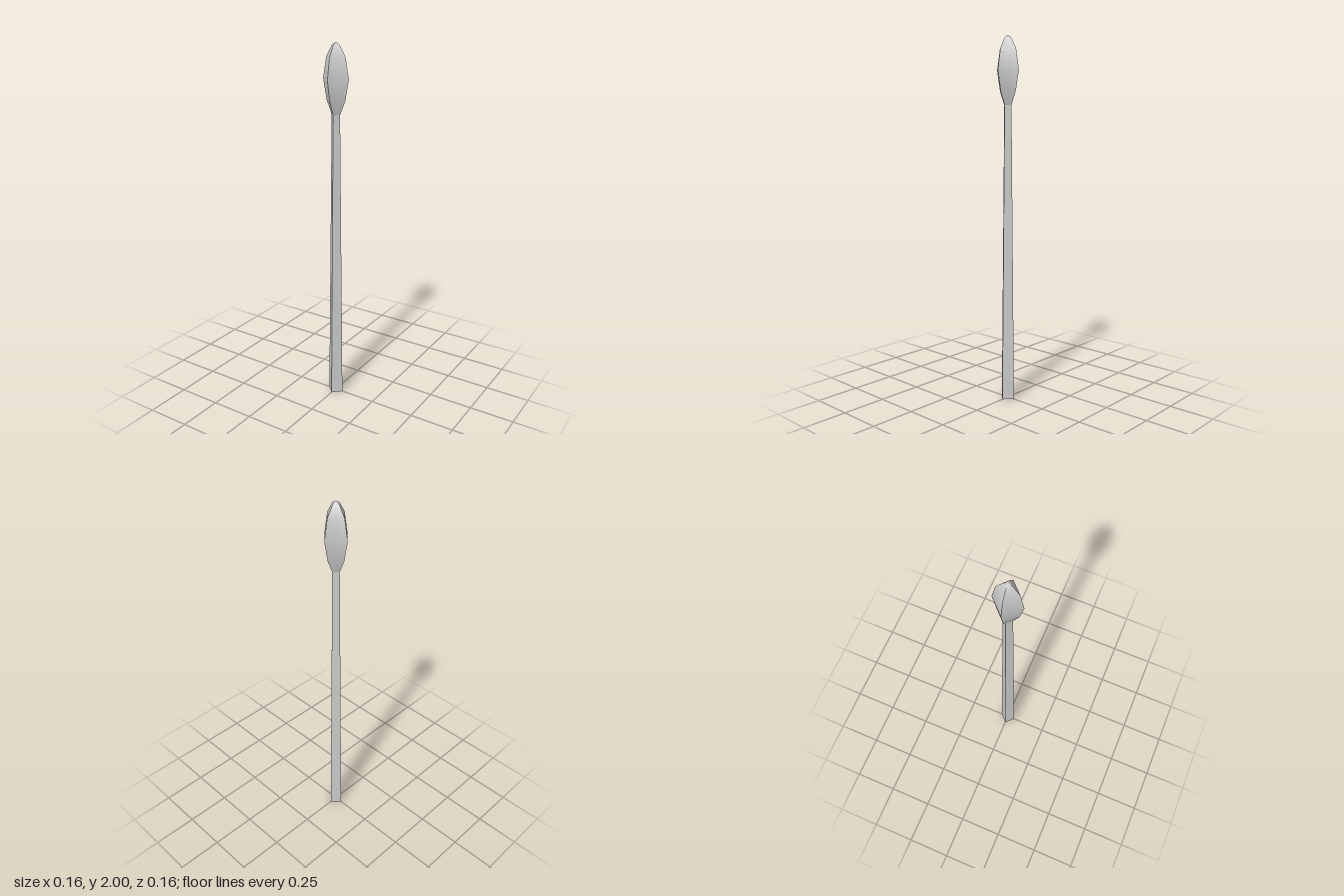
import * as THREE from 'three';
import { toCreasedNormals } from 'three/addons/utils/BufferGeometryUtils.js';

const SIDES = 4;
const NECK_Y = 1.635;
const NECK_RADIUS = 0.026;
const BASE_RADIUS = 0.046;

export function createModel() {
  const group = new THREE.Group();
  group.name = 'spearTippedPost';
  const material = new THREE.MeshStandardMaterial({ color: 0xcccccc });

  const addPart = (name, geometry, y = 0) => {
    // Crisp corners between the four sides, soft shading along each side
    const mesh = new THREE.Mesh(toCreasedNormals(geometry, Math.PI / 3.2), material);
    mesh.name = name;
    mesh.position.y = y;
    group.add(mesh);
  };

  // Tapered four-sided shaft, corners on the x and z axes
  addPart('shaft', new THREE.CylinderGeometry(NECK_RADIUS, BASE_RADIUS, NECK_Y, SIDES), NECK_Y / 2);

  // Bud-shaped finial with the same four sides
  const profile = [
    [NECK_RADIUS, NECK_Y],
    [0.057, 1.708],
    [0.078, 1.817],
    [0.058, 1.928],
    [0.024, 1.985],
    [0, 2],
  ].map(([r, y]) => new THREE.Vector2(r, y));
  addPart('finial', new THREE.LatheGeometry(profile, SIDES));

  return group;
}
